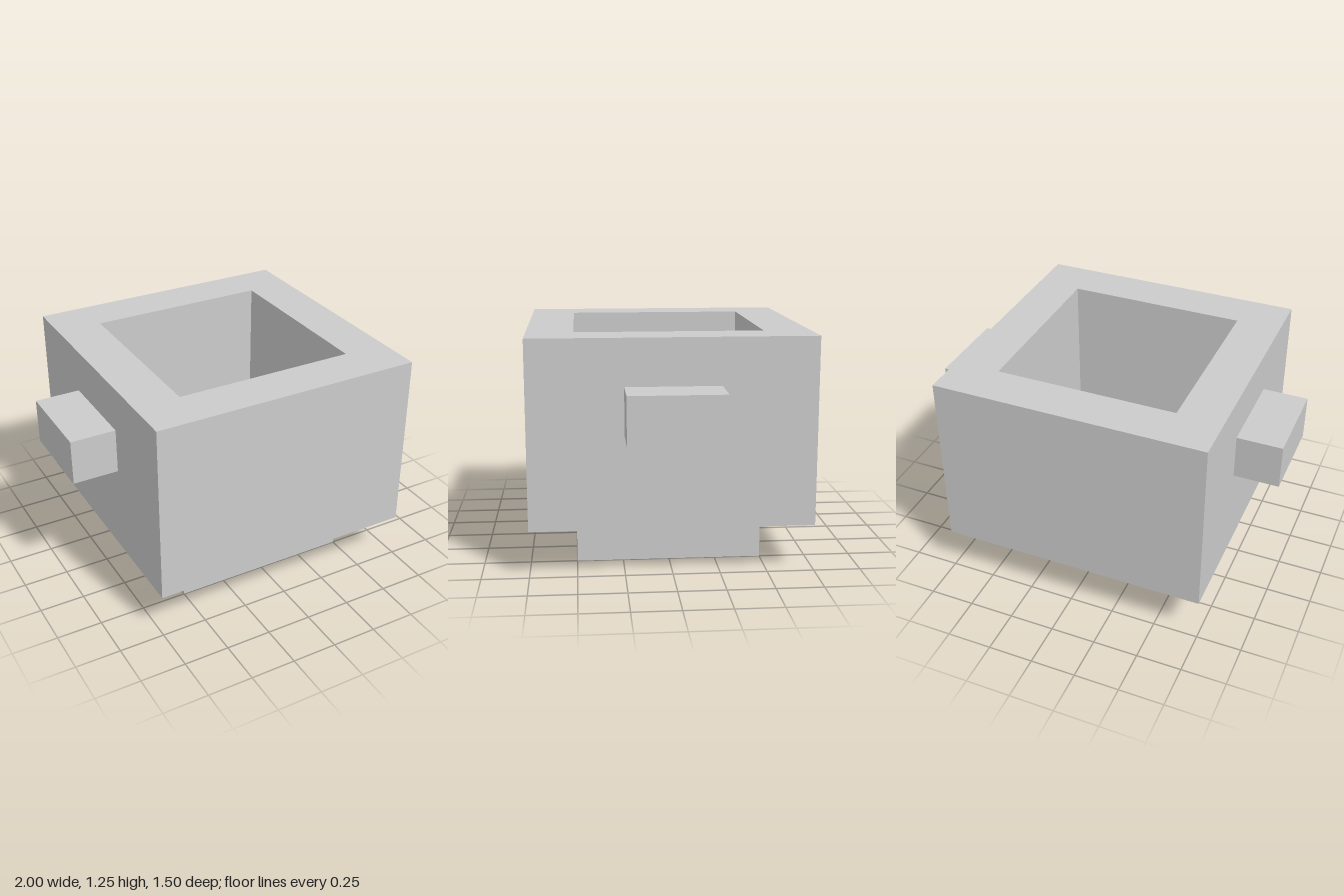
import * as THREE from 'three';

export function createModel() {
  const group = new THREE.Group();
  const material = new THREE.MeshStandardMaterial({ color: 0xcccccc, flatShading: true });

  const add = (name, geometry, x, y, z) => {
    const mesh = new THREE.Mesh(geometry, material);
    mesh.name = name;
    mesh.position.set(x, y, z);
    group.add(mesh);
    return mesh;
  };

  const square = (half, Type) => new Type([
    new THREE.Vector2(-half, -half), new THREE.Vector2(half, -half),
    new THREE.Vector2(half, half), new THREE.Vector2(-half, half),
  ]);

  // Thick square wall around an open cavity, extruded upwards
  const ring = square(0.75, THREE.Shape);
  ring.holes.push(square(0.5, THREE.Path));
  const walls = new THREE.ExtrudeGeometry(ring, { depth: 1, bevelEnabled: false });
  walls.rotateX(-Math.PI / 2);
  add('potWalls', walls, 0, 0.25, 0);

  // Foot block, whose top closes the cavity
  add('base', new THREE.BoxGeometry(1, 0.25, 1), 0, 0.125, 0);

  // Block handles on both sides
  for (const [name, side] of [['leftHandle', 1], ['rightHandle', -1]]) {
    add(name, new THREE.BoxGeometry(0.25, 0.25, 0.5), side * 0.875, 0.875, 0);
  }

  return group;
}
